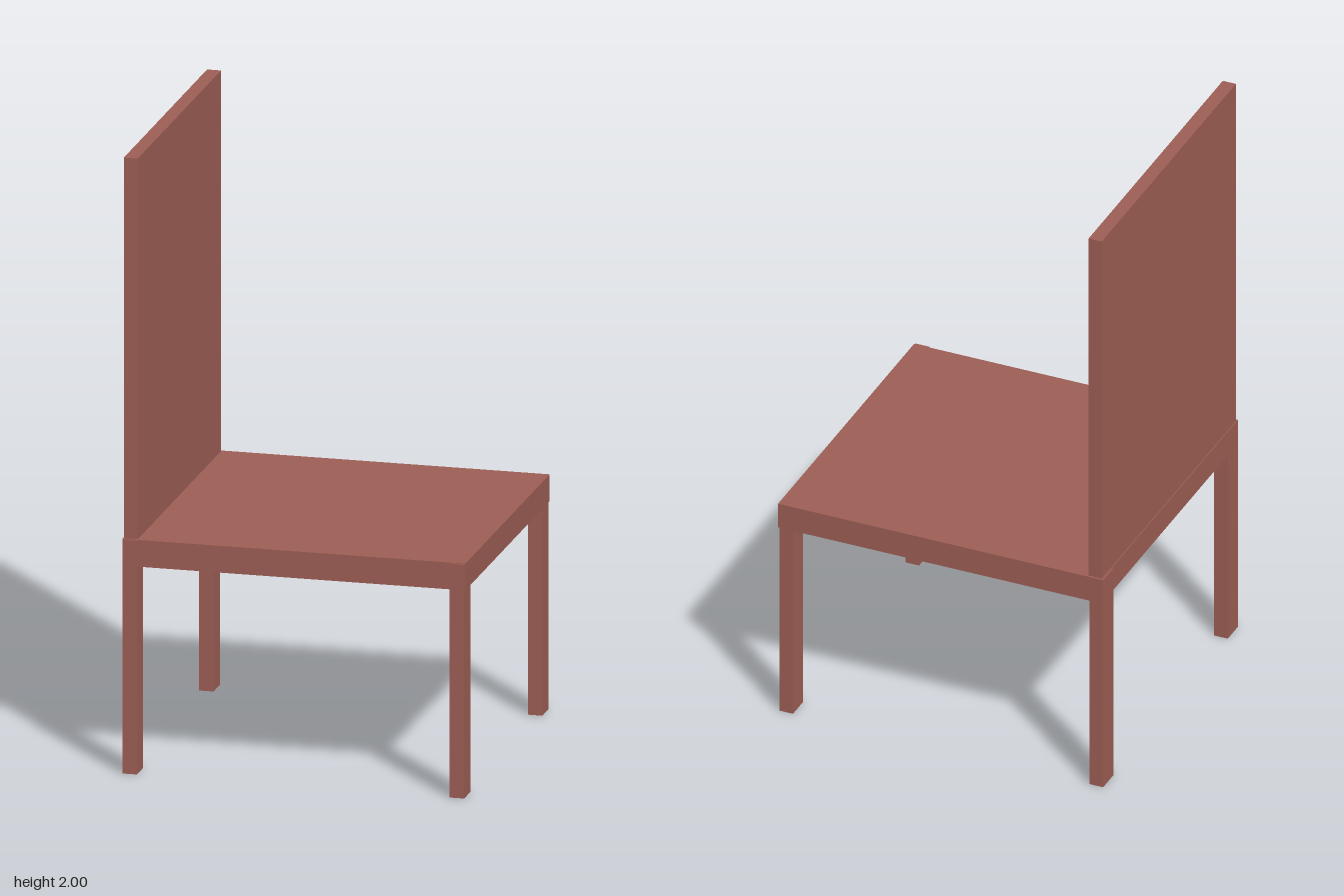
import * as THREE from 'three';

export function createModel() {
  const group = new THREE.Group();
  const material = new THREE.MeshStandardMaterial({ color: 0x9d5e54, flatShading: true });

  // Box given by its extents along each axis
  function box(name, [x0, x1], [y0, y1], [z0, z1]) {
    const mesh = new THREE.Mesh(new THREE.BoxGeometry(x1 - x0, y1 - y0, z1 - z0), material);
    mesh.position.set((x0 + x1) / 2, (y0 + y1) / 2, (z0 + z1) / 2);
    mesh.name = name;
    group.add(mesh);
  }

  // Seat slab and tall backrest; the chair opens towards +x
  box('seat', [-0.553, 0.555], [0.675, 0.762], [-0.524, 0.517]);
  box('backrest', [-0.55, -0.505], [0.762, 2], [-0.517, 0.51]);

  // Four legs, let into the seat corners up to just below its top
  const legs = [
    ['rearLegNear', -0.552, 0.443],
    ['rearLegFar', -0.557, -0.522],
    ['frontLegNear', 0.506, 0.446],
    ['frontLegFar', 0.506, -0.519],
  ];
  for (const [name, x, z] of legs) {
    box(name, [x, x + 0.047], [0, 0.76], [z, z + 0.078]);
  }
  return group;
}
